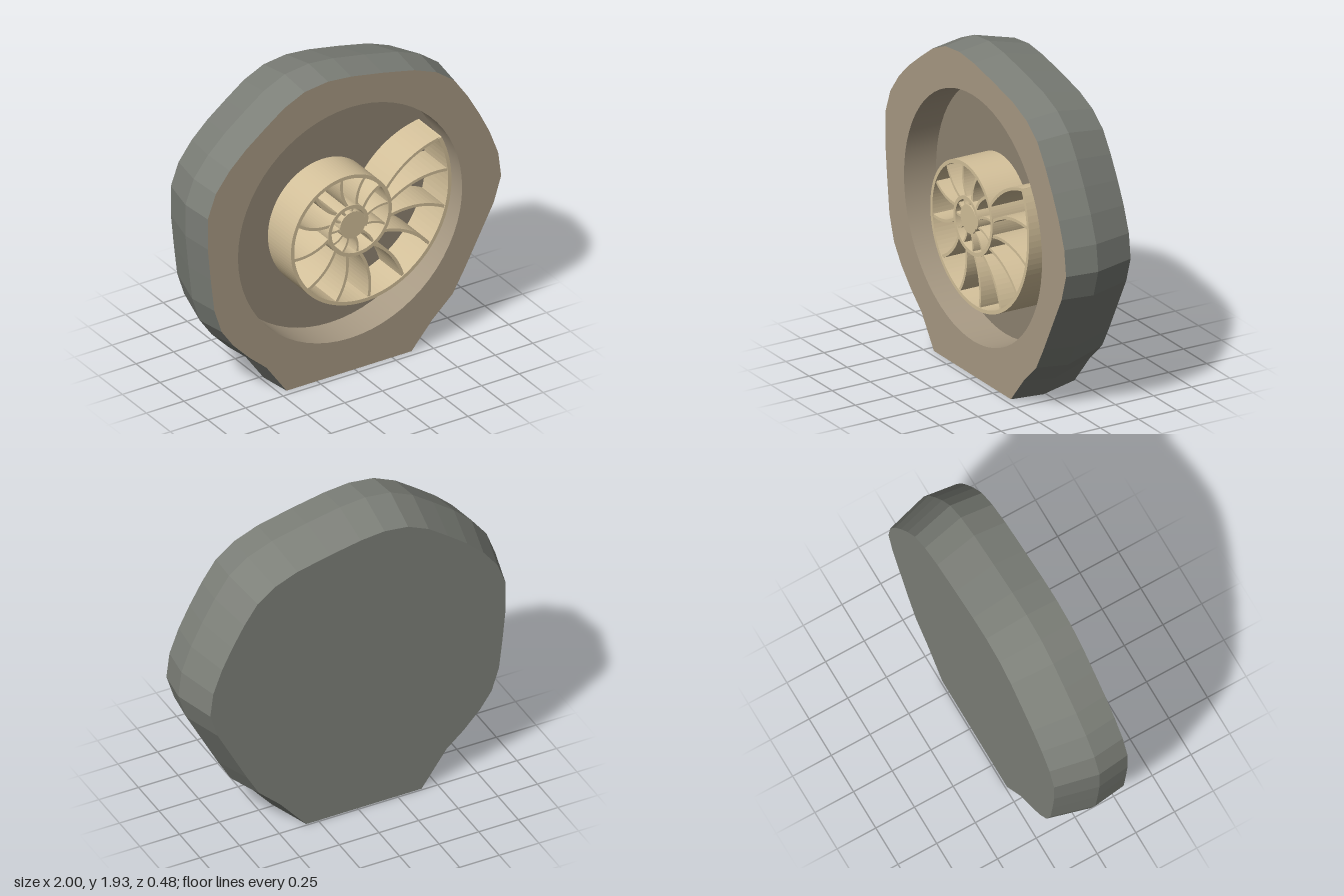
import * as THREE from 'three';

const CX = -0.03, CY = 0.955; // shared centre of recess and spiral
const FRONT = 0.21, MID = 0.015, BACK = -0.24, FLOOR = 0, TOP = 0.24;

// stone outline at its widest, counter-clockwise from the right end of the base
const OUTLINE = [
  [0.41, 0], [0.53, 0.14], [0.67, 0.27], [0.75, 0.41], [0.85, 0.6], [0.95, 0.79], [1, 0.95], [0.98, 1.11],
  [0.92, 1.27], [0.85, 1.41], [0.77, 1.55], [0.68, 1.68], [0.56, 1.77], [0.41, 1.83], [0.19, 1.88],
  [-0.02, 1.92], [-0.18, 1.935], [-0.34, 1.915], [-0.48, 1.85], [-0.61, 1.755], [-0.74, 1.655],
  [-0.85, 1.55], [-0.945, 1.425], [-1, 1.275], [-1, 1.075], [-0.98, 0.87], [-0.955, 0.655],
  [-0.905, 0.5], [-0.825, 0.385], [-0.715, 0.27], [-0.6, 0.17], [-0.48, 0],
];

const mat = (color, extra = {}) => {
  const m = new THREE.MeshStandardMaterial({ color });
  return Object.assign(m, extra);
};

function add(group, name, geometry, material) {
  const mesh = new THREE.Mesh(geometry, material);
  mesh.name = name;
  group.add(mesh);
  return mesh;
}

// outline shrunk about the centre, with its end corners extended down to the ground
function ring(scale) {
  const pts = OUTLINE.map(([x, y]) => new THREE.Vector2(CX + (x - CX) * scale, CY + (y - CY) * scale));
  const ground = (p, q) => {
    p.x -= (q.x - p.x) * p.y / (q.y - p.y);
    p.y = 0;
  };
  ground(pts[0], pts[1]);
  ground(pts[pts.length - 1], pts[pts.length - 2]);
  return pts;
}

// faceted band joining the front, middle and back outlines
function bandGeometry(rings) {
  const pos = [];
  for (let r = 0; r < rings.length - 1; r++) {
    const [a, za] = rings[r], [b, zb] = rings[r + 1];
    for (let i = 0; i < a.length; i++) {
      const j = (i + 1) % a.length;
      const a0 = [a[i].x, a[i].y, za], a1 = [a[j].x, a[j].y, za];
      const b0 = [b[i].x, b[i].y, zb], b1 = [b[j].x, b[j].y, zb];
      pos.push(...b0, ...b1, ...a1, ...b0, ...a1, ...a0);
    }
  }
  const g = new THREE.BufferGeometry();
  g.setAttribute('position', new THREE.Float32BufferAttribute(pos, 3));
  g.computeVertexNormals();
  return g;
}

// upright wall of constant thickness along a flat path
function wallGeometry(path, thickness, height) {
  const left = [], right = [];
  path.forEach((p, i) => {
    const a = path[Math.max(i - 1, 0)], b = path[Math.min(i + 1, path.length - 1)];
    const t = b.clone().sub(a).normalize().multiplyScalar(thickness / 2);
    left.push(new THREE.Vector2(p.x - t.y, p.y + t.x));
    right.push(new THREE.Vector2(p.x + t.y, p.y - t.x));
  });
  const shape = new THREE.Shape([...left, ...right.reverse()]);
  return new THREE.ExtrudeGeometry(shape, { depth: height, bevelEnabled: false });
}

// logarithmic spiral, growing counter-clockwise
const WALL = 0.022;
const spiralRadius = (a) => 0.648 * Math.exp(0.1477 * a) - WALL / 2;
const polar = (r, a) => new THREE.Vector2(CX + r * Math.cos(a), CY + r * Math.sin(a));

export function createModel() {
  const model = new THREE.Group();
  const rock = mat(0x7c7f78, { flatShading: true });
  const cut = mat(0xa89a84);
  const pit = mat(0x8f8371);
  const shell = mat(0xd3c09a);

  // stone
  const stone = new THREE.Group();
  stone.name = 'stone';
  model.add(stone);
  const front = ring(0.975), mid = ring(1), back = ring(0.932);
  add(stone, 'stoneSide', bandGeometry([[front, FRONT], [mid, MID], [back, BACK]]), rock);

  const backShape = new THREE.Shape(back.map((p) => new THREE.Vector2(-p.x, p.y)));
  const backFace = add(stone, 'stoneBack', new THREE.ShapeGeometry(backShape), rock);
  backFace.rotation.y = Math.PI;
  backFace.position.z = BACK;

  // cut front face with a round recess
  const R = 0.745;
  const faceShape = new THREE.Shape(front);
  faceShape.holes.push(new THREE.Path().absarc(CX, CY, R, 0, Math.PI * 2, true));
  add(stone, 'stoneFront', new THREE.ShapeGeometry(faceShape, 32), cut).position.z = FRONT;

  const wall = new THREE.CylinderGeometry(R, R, FRONT - FLOOR, 64, 1, true).rotateX(Math.PI / 2);
  add(stone, 'recessWall', wall, mat(0xa89a84, { side: THREE.BackSide }))
    .position.set(CX, CY, (FRONT + FLOOR) / 2);
  add(stone, 'recessFloor', new THREE.CircleGeometry(R, 64), pit).position.set(CX, CY, FLOOR);

  // spiral shell standing in the recess
  const fossil = new THREE.Group();
  fossil.name = 'spiralShell';
  fossil.position.z = FLOOR;
  model.add(fossil);

  const rad = THREE.MathUtils.degToRad;
  const start = rad(33.5), end = start - 13.5, path = [];
  for (let i = 0; i <= 240; i++) {
    const a = start + (end - start) * i / 240;
    path.push(polar(spiralRadius(a), a));
  }
  add(fossil, 'spiralWall', wallGeometry(path, WALL, TOP - FLOOR), shell);

  const hub = new THREE.CylinderGeometry(0.085, 0.085, TOP - FLOOR, 40).rotateX(Math.PI / 2);
  add(fossil, 'hub', hub, shell).position.set(CX, CY, (TOP - FLOOR) / 2);

  // curved chamber walls, from each whorl to the next one in
  const angles = [33, 14, -7, -29, -52.5, -78, -103, -132, -164, -196, -226, -258, -287, -314];
  for (let a = -345; a > -640; a -= 32) angles.push(a);
  for (const deg of angles) {
    const a = rad(deg), inA = a + rad(2);
    const outer = polar(spiralRadius(a), a);
    const inner = polar(Math.max(spiralRadius(inA - Math.PI * 2), 0.075), inA);
    const d = outer.clone().sub(inner);
    const bulge = new THREE.Vector2(-d.y, d.x).multiplyScalar(0.2);
    const ctrl = inner.clone().addScaledVector(d, 0.5).add(bulge);
    const curve = new THREE.QuadraticBezierCurve(inner, ctrl, outer);
    const thick = deg > -320 ? 0.018 : 0.013;
    add(fossil, 'chamberWall', wallGeometry(curve.getPoints(12), thick, TOP - FLOOR - 0.006), shell);
  }
  return model;
}
